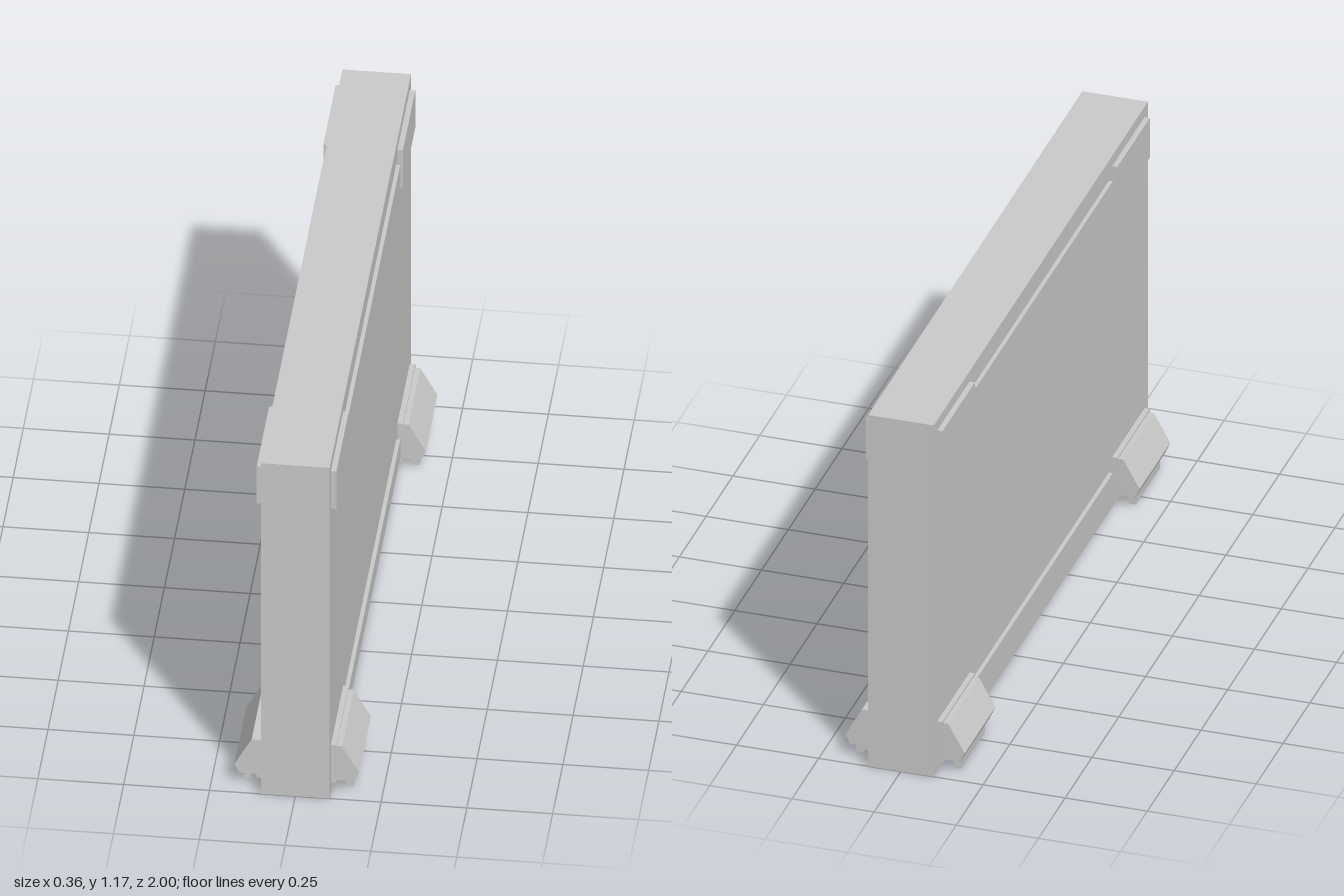
import * as THREE from 'three';

const material = new THREE.MeshStandardMaterial({ color: 0xcccccc, flatShading: true });

// Box given by its minimum and maximum corners
function block(name, [x0, y0, z0], [x1, y1, z1]) {
  const mesh = new THREE.Mesh(new THREE.BoxGeometry(x1 - x0, y1 - y0, z1 - z0), material);
  mesh.position.set((x0 + x1) / 2, (y0 + y1) / 2, (z0 + z1) / 2);
  mesh.name = name;
  return mesh;
}

// Bevelled foot: side profile extruded along z
function footBody(z0, z1) {
  const profile = [[0.115, 0.04], [0.168, 0.04], [0.182, 0.071], [0.132, 0.161], [0.115, 0.161]];
  const shape = new THREE.Shape(profile.map(([x, y]) => new THREE.Vector2(x, y)));
  const geometry = new THREE.ExtrudeGeometry(shape, { depth: z1 - z0, bevelEnabled: false });
  const mesh = new THREE.Mesh(geometry, material);
  mesh.position.z = z0;
  mesh.name = 'footBody';
  return mesh;
}

// Trim for the +x face
function sideTrim() {
  const side = new THREE.Group();
  const half = 0.635;
  side.add(
    block('lowerRail', [0.1, 0.068, -half], [0.112, 0.132, half]),
    block('upperRail', [0.1, 1.038, -half], [0.112, 1.102, half])
  );
  for (const end of [0, 1]) {
    const corner = new THREE.Group();
    corner.name = end ? 'backCorner' : 'frontCorner';
    corner.add(
      block('upperPlate', [0.1, 1.002, 0.665], [0.116, 1.134, 0.968]),
      block('lowerPlate', [0.1, 0.034, 0.665], [0.116, 0.167, 0.968]),
      footBody(0.675, 0.962),
      block('footPad', [0.138, 0, 0.706], [0.16, 0.041, 0.932])
    );
    corner.rotation.y = 0;
    // The corner is symmetric about its own middle, so the back one is a shift
    if (end) corner.position.z = -(0.665 + 0.968);
    side.add(corner);
  }
  return side;
}

export function createModel() {
  const model = new THREE.Group();
  model.name = 'panelOnFeet';
  // Main slab
  model.add(block('slab', [-0.1, 0, -1], [0.1, 1.168, 1]));
  // Same trim on both broad faces
  const left = sideTrim();
  left.name = 'leftTrim';
  const right = sideTrim();
  right.name = 'rightTrim';
  right.rotation.y = Math.PI;
  model.add(left, right);
  return model;
}
